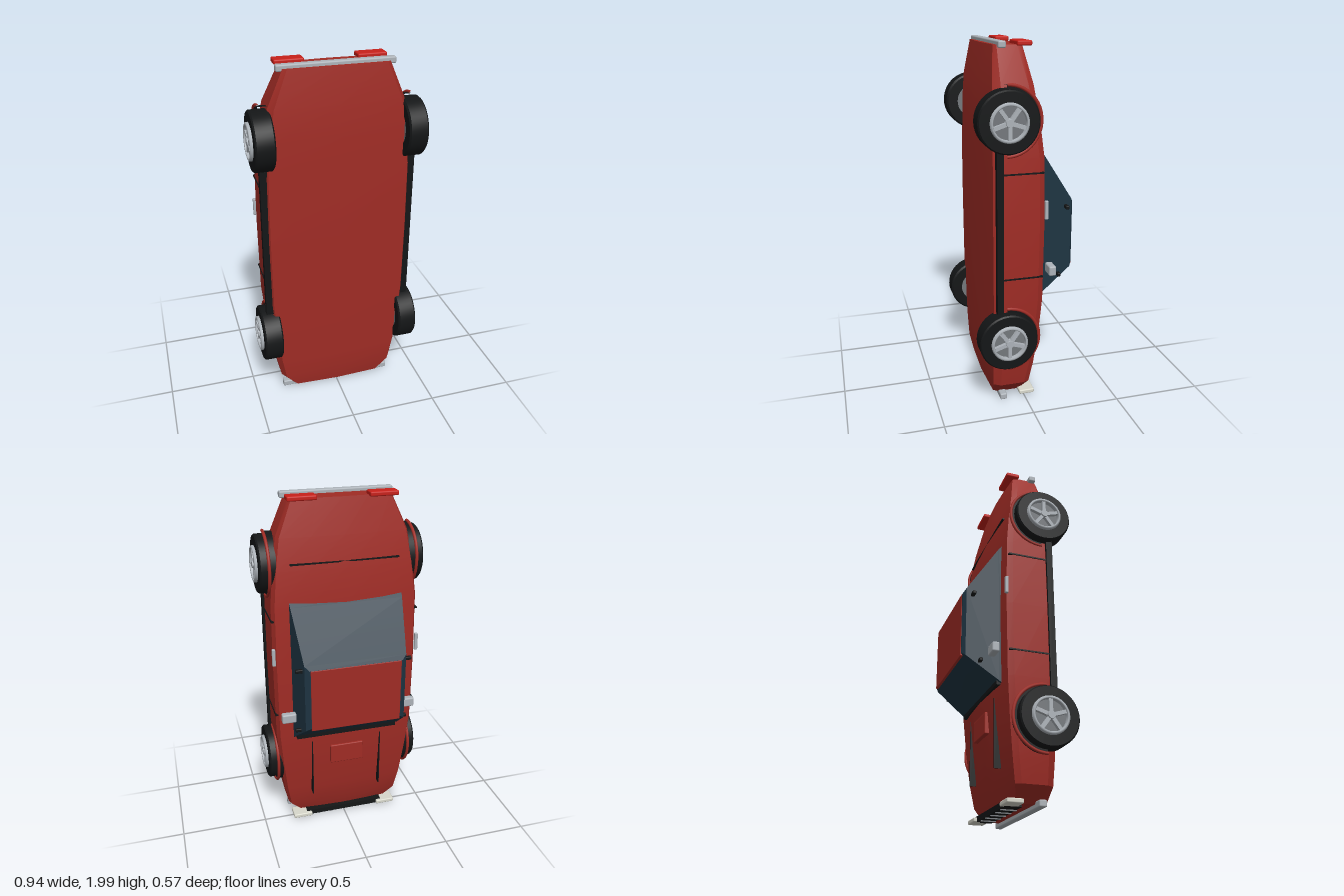
import * as THREE from 'three';
import { toCreasedNormals } from 'three/addons/utils/BufferGeometryUtils.js';
import { RoundedBoxGeometry } from 'three/addons/geometries/RoundedBoxGeometry.js';

const mat = (color) => new THREE.MeshStandardMaterial({ color });
const RED = mat(0xa02c25), GLASS = mat(0x1f3543), BLACK = mat(0x141617), CHROME = mat(0xadb3b9);
const STEEL = mat(0x74787c), LAMP = mat(0xd8d8cc), TAIL = mat(0xc8201a);

// Closed skin through rings of [x, y, z]; rings run anticlockwise seen from the last one
function loft(rings, crease) {
  const pos = [], n = rings[0].length;
  const tri = (a, b, c) => pos.push(...a, ...b, ...c);
  for (let i = 0; i < rings.length - 1; i++) {
    for (let j = 0; j < n; j++) {
      const k = (j + 1) % n, p = rings[i], q = rings[i + 1];
      tri(p[j], p[k], q[k]);
      tri(p[j], q[k], q[j]);
    }
  }
  const mid = (r) => [0, 1, 2].map((a) => r.reduce((s, p) => s + p[a], 0) / n);
  const first = rings[0], last = rings[rings.length - 1];
  for (let j = 0; j < n; j++) {
    const k = (j + 1) % n;
    tri(mid(first), first[k], first[j]);
    tri(mid(last), last[j], last[k]);
  }
  const g = new THREE.BufferGeometry();
  g.setAttribute('position', new THREE.Float32BufferAttribute(pos, 3));
  return toCreasedNormals(g, crease);
}

export function createModel() {
  const car = new THREE.Group();
  car.name = 'car';
  const add = (name, geo, material, parent = car) => {
    const m = new THREE.Mesh(geo, material);
    m.name = name;
    parent.add(m);
    return m;
  };
  // Box given by its limits, optionally with rounded edges
  const box = (name, material, [x0, x1], [y0, y1], [z0, z1], r = 0) => {
    const s = [x1 - x0, y1 - y0, z1 - z0];
    const m = add(name, r ? new RoundedBoxGeometry(...s, 2, r) : new THREE.BoxGeometry(...s), material);
    m.position.set((x0 + x1) / 2, (y0 + y1) / 2, (z0 + z1) / 2);
    return m;
  };
  const sides = (s, a, b) => (s > 0 ? [a, b] : [-b, -a]);

  // Body shell: y, half width, roofline z, shoulder z, underside z
  const stations = [
    [0.03, 0.27, -0.005, 0.01, 0.18],
    [0.11, 0.345, -0.035, -0.02, 0.193],
    [0.24, 0.37, -0.06, -0.04, 0.197],
    [0.43, 0.392, -0.08, -0.06, 0.2],
    [0.64, 0.41, -0.1, -0.075, 0.203],
    [1.05, 0.413, -0.1, -0.08, 0.204],
    [1.43, 0.41, -0.092, -0.075, 0.203],
    [1.62, 0.39, -0.073, -0.055, 0.2],
    [1.79, 0.362, -0.046, -0.028, 0.193],
    [1.98, 0.28, -0.005, 0.01, 0.17],
  ];
  const shell = stations.map(([y, w, t, s, b]) => {
    const half = [[0.93 * w, b - 0.01], [w, 0.145], [w, s + 0.03], [0.96 * w, s], [0.5 * w, t + (s - t) * 0.35]];
    return [[0, b], ...half, [0, t], ...half.reverse().map(([x, z]) => [-x, z])].map(([x, z]) => [x, y, z]);
  });
  add('body', loft(shell, 0.4), RED);

  // Glass cabin and roof panel
  const cabinRing = (x, y0, y1, z) => [[x, y0, z], [-x, y0, z], [-x, y1, z], [x, y1, z]];
  add('cabinGlass', loft([
    cabinRing(0.318, 0.62, 1.46, -0.07),
    cabinRing(0.314, 0.64, 1.43, -0.095),
    cabinRing(0.285, 0.77, 1.165, -0.268),
    cabinRing(0.26, 0.79, 1.14, -0.284),
  ], 0.3), GLASS);
  box('roofPanel', RED, [-0.255, 0.255], [0.775, 1.14], [-0.287, -0.272], 0.004);
  box('windscreenSeal', BLACK, [-0.3, 0.3], [0.622, 0.645], [-0.103, -0.08]);

  // Bonnet, boot and front details
  box('bonnetScoop', RED, [-0.1, 0.1], [0.42, 0.54], [-0.1, -0.07], 0.006);
  box('bootSeam', BLACK, [-0.3, 0.3], [1.65, 1.658], [-0.067, -0.05]);
  box('grille', BLACK, [-0.24, 0.24], [0.02, 0.05], [-0.04, 0.05]);
  for (let i = -2; i <= 2; i++) {
    box('grilleSlat', STEEL, [i * 0.08 - 0.004, i * 0.08 + 0.004], [0.014, 0.03], [-0.035, 0.05]);
  }
  box('frontBumper', CHROME, [-0.333, 0.333], [0.008, 0.045], [0.105, 0.145], 0.008);
  box('rearBumper', CHROME, [-0.312, 0.312], [1.965, 2], [0.103, 0.143], 0.008);

  for (const s of [1, -1]) {
    box('headlight', LAMP, sides(s, 0.21, 0.325), [0.02, 0.045], [-0.058, 0.03], 0.007);
    box('tailLight', TAIL, sides(s, 0.142, 0.3), [1.974, 2], [-0.036, 0.042], 0.008);
    box('bonnetSeam', BLACK, sides(s, 0.205, 0.211), [0.21, 0.58], [-0.087, -0.05]);
    box('sill', BLACK, sides(s, 0.36, 0.424), [0.59, 1.47], [0.147, 0.182]);
    box('mirror', CHROME, sides(s, 0.31, 0.392), [0.765, 0.82], [-0.155, -0.115], 0.009);
    box('doorHandle', CHROME, sides(s, 0.403, 0.422), [1.1, 1.2], [-0.094, -0.076], 0.004);
    for (const y of [0.78, 1.35]) {
      box('doorSeam', BLACK, sides(s, 0.4, 0.4155), [y - 0.004, y + 0.004], [-0.07, 0.15]);
    }
    box('windowPin', BLACK, sides(s, 0.27, 0.328), [1.115, 1.135], [-0.245, -0.225], 0.005);
    box('windowPin', BLACK, sides(s, 0.27, 0.328), [0.73, 0.75], [-0.203, -0.185], 0.005);
  }

  // Wheels, built along +x and turned round for the other side
  const tyreProfile = [[0.095, 0.35], [0.15, 0.35], [0.16, 0.358], [0.16, 0.447], [0.153, 0.455], [0.1, 0.455], [0.095, 0.44]];
  const tyreGeo = toCreasedNormals(new THREE.LatheGeometry(tyreProfile.map((p) => new THREE.Vector2(...p)), 40), 0.6);
  const rimProfile = [[0.085, 0.43], [0.085, 0.468], [0.09, 0.472], [0.099, 0.468], [0.101, 0.45]];
  const rimGeo = new THREE.LatheGeometry(rimProfile.map((p) => new THREE.Vector2(...p)).reverse(), 40);
  const rimMat = new THREE.MeshStandardMaterial({ color: 0xadb3b9, side: THREE.DoubleSide });
  const tyreMat = new THREE.MeshStandardMaterial({ color: 0x141617, side: THREE.DoubleSide });
  const wellGeo = new THREE.CylinderGeometry(0.176, 0.176, 0.06, 32, 1, false, Math.PI / 2, Math.PI);
  const flareGeo = new THREE.TorusGeometry(0.179, 0.009, 8, 32, Math.PI).rotateX(Math.PI / 2);

  for (const s of [1, -1]) {
    for (const y of [0.43, 1.62]) {
      const wheel = new THREE.Group();
      wheel.name = y < 1 ? 'frontWheel' : 'rearWheel';
      add('tyre', tyreGeo, tyreMat, wheel);
      add('rim', rimGeo, rimMat, wheel);
      add('rimDisc', new THREE.CylinderGeometry(0.097, 0.097, 0.09, 32), STEEL, wheel).position.y = 0.4;
      add('hub', new THREE.CylinderGeometry(0.02, 0.024, 0.03, 20), CHROME, wheel).position.y = 0.457;
      for (let i = 0; i < 5; i++) {
        const a = (i * Math.PI * 2) / 5;
        const spoke = add('spoke', new THREE.BoxGeometry(0.085, 0.02, 0.02), CHROME, wheel);
        spoke.position.set(Math.cos(a) * 0.048, 0.455, -Math.sin(a) * 0.048);
        spoke.rotation.y = a;
      }
      wheel.rotation.z = (-s * Math.PI) / 2;
      wheel.position.set(0, y, 0.125);
      car.add(wheel);

      // Upper half arch around the wheel
      const well = add('wheelWell', wellGeo, BLACK);
      well.rotation.z = Math.PI / 2;
      well.position.set(s * 0.378, y, 0.125);
      const flare = add('archFlare', flareGeo, RED);
      flare.rotation.z = Math.PI / 2;
      flare.rotation.y = Math.PI;
      flare.position.set(s * 0.407, y, 0.125);
    }
  }
  return car;
}
